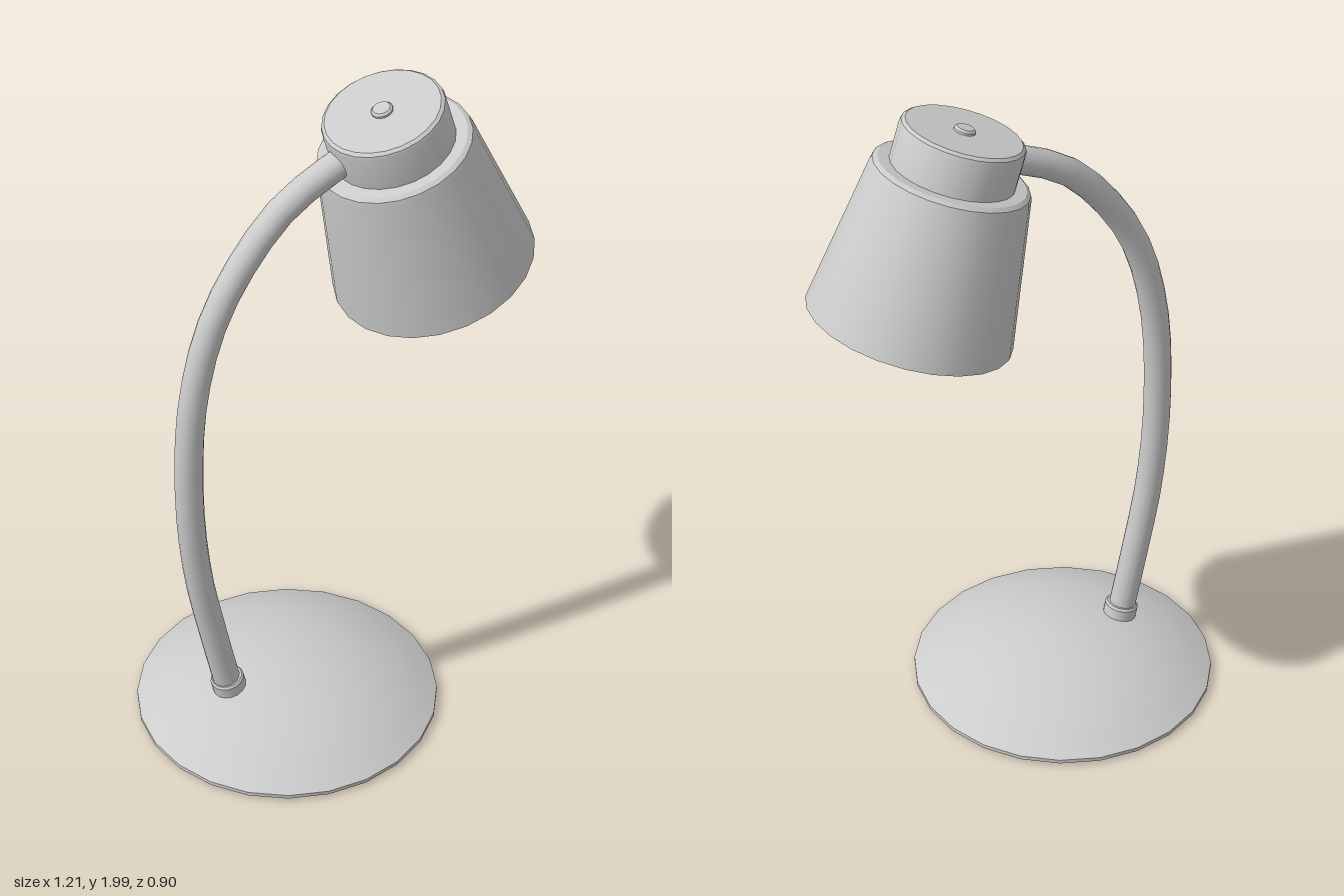
import * as THREE from 'three';
import { toCreasedNormals } from 'three/addons/utils/BufferGeometryUtils.js';

const SIDES = 24;
const material = new THREE.MeshStandardMaterial({ color: 0xcccccc });

function part(name, geometry) {
  const mesh = new THREE.Mesh(geometry, material);
  mesh.name = name;
  return mesh;
}

// Turned part from [radius, height] pairs, listed so the outside faces out
function turned(name, profile, sides = SIDES) {
  const points = profile.map(([r, y]) => new THREE.Vector2(r, y));
  return part(name, toCreasedNormals(new THREE.LatheGeometry(points, sides), 0.55));
}

export function createModel() {
  const lamp = new THREE.Group();
  lamp.name = 'deskLamp';

  // Base: shallow spherical dome on a thin rim
  const rim = 0.45, rimTop = 0.02, top = 0.155;
  const rise = top - rimTop;
  const R = (rim * rim + rise * rise) / (2 * rise);
  const sweep = Math.asin(rim / R);
  const dome = [[0, 0], [0.44, 0], [0.44, 0.008], [rim, 0.008]];
  for (let i = 0; i <= 8; i++) {
    const a = sweep * (1 - i / 8);
    dome.push([R * Math.sin(a), top - R * (1 - Math.cos(a))]);
  }
  const base = turned('base', dome);
  base.position.x = -0.16;
  lamp.add(base);

  // Collar where the stem enters the base
  const collar = turned('collar', [
    [0, -0.04], [0.05, -0.04], [0.05, 0.018], [0.045, 0.025], [0, 0.025],
  ], 16);
  collar.position.set(-0.36, 0.145, 0);
  collar.rotation.z = 0.2;
  lamp.add(collar);

  // Curved stem
  const path = new THREE.CatmullRomCurve3([
    [-0.355, 0.11], [-0.405, 0.36], [-0.447, 0.6], [-0.465, 0.88], [-0.445, 1.2],
    [-0.38, 1.44], [-0.28, 1.61], [-0.15, 1.745], [0.0, 1.82], [0.08, 1.85],
  ].map(([x, y]) => new THREE.Vector3(x, y, 0)));
  lamp.add(part('stem', new THREE.TubeGeometry(path, 22, 0.04, 16, false)));

  // Tilted head; its origin is the centre of the shade opening
  const head = new THREE.Group();
  head.name = 'head';
  head.position.set(0.325, 1.4025, 0);
  head.rotation.z = 0.308;
  lamp.add(head);

  // Hollow shade: inner wall, lip, outer wall, rounded shoulder
  head.add(turned('shade', [
    [0, 0.43], [0.2, 0.43], [0.274, 0], [0.289, 0], [0.221, 0.425],
    [0.216, 0.442], [0.204, 0.45], [0, 0.45],
  ]));

  // Cap with a softened top edge
  head.add(turned('cap', [
    [0.172, 0.44], [0.172, 0.553], [0.169, 0.563], [0.16, 0.57], [0, 0.57],
  ]));

  // Button on the cap
  head.add(turned('button', [
    [0.03, 0.56], [0.03, 0.576], [0.024, 0.582], [0, 0.582],
  ], 16));

  return lamp;
}
